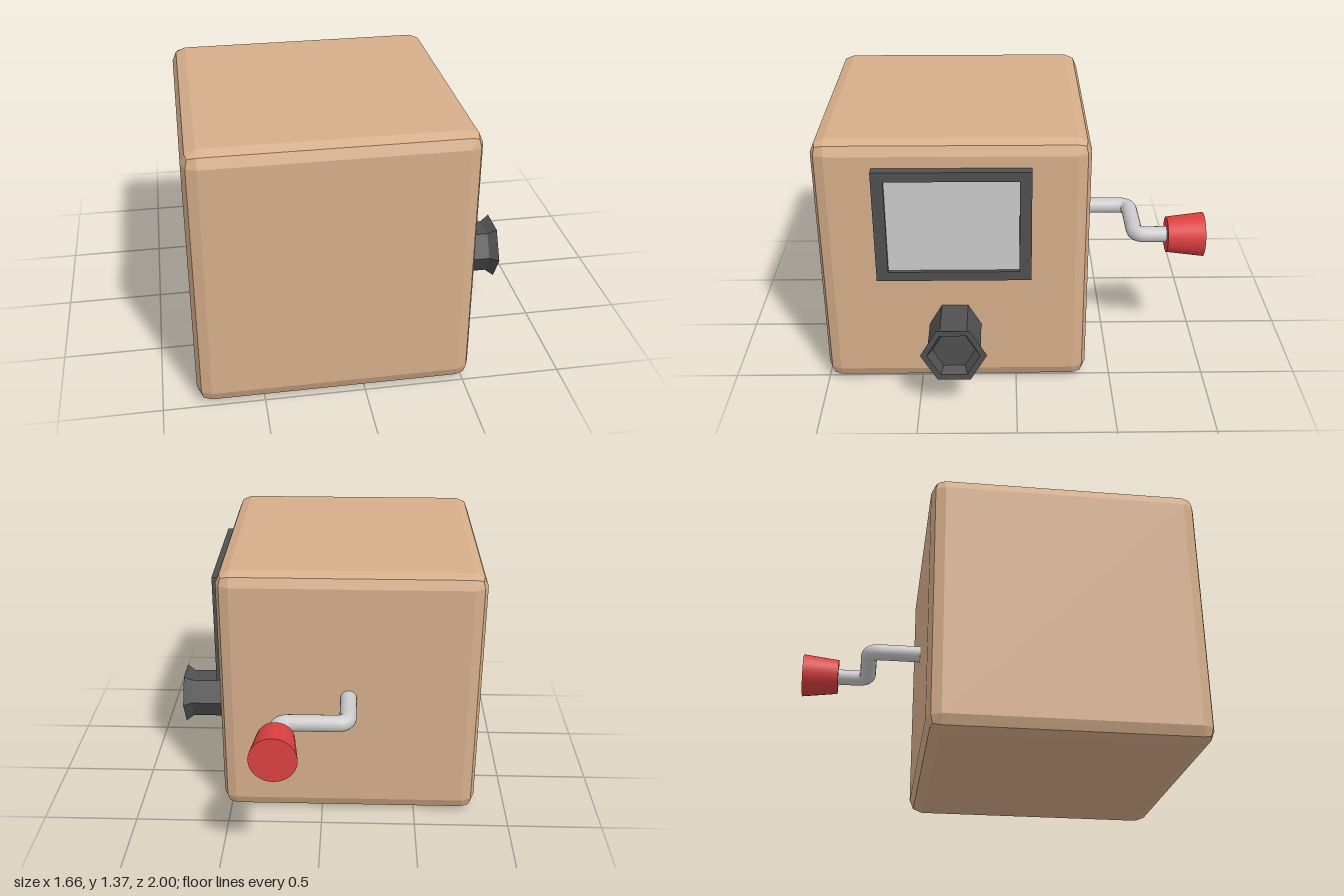
import * as THREE from 'three';
import { RoundedBoxGeometry } from 'three/addons/geometries/RoundedBoxGeometry.js';

const material = (color, flatShading = false) => new THREE.MeshStandardMaterial({ color, flatShading });

function addPart(group, name, geometry, mat, x = 0, y = 0, z = 0) {
  const mesh = new THREE.Mesh(geometry, mat);
  mesh.name = name;
  mesh.position.set(x, y, z);
  group.add(mesh);
  return mesh;
}

// Closed rectangle as a list of corners
function rectangle(w, h) {
  return [[-w, -h], [w, -h], [w, h], [-w, h]].map(([x, y]) => new THREE.Vector2(x / 2, y / 2));
}

// Path of straight runs with a rounded bend at every inner corner
function bentPath(points, bend) {
  const path = new THREE.CurvePath();
  let start = points[0];
  for (let i = 1; i < points.length - 1; i++) {
    const corner = points[i];
    const before = corner.clone().add(points[i - 1].clone().sub(corner).setLength(bend));
    const after = corner.clone().add(points[i + 1].clone().sub(corner).setLength(bend));
    path.add(new THREE.LineCurve3(start, before));
    path.add(new THREE.QuadraticBezierCurve3(before, corner, after));
    start = after;
  }
  path.add(new THREE.LineCurve3(start, points[points.length - 1]));
  return path;
}

export function createModel() {
  const model = new THREE.Group();
  model.name = 'crankBox';
  const wood = material(0xd6ae8a, true);
  const dark = material(0x505050, true);
  const grey = material(0xcccccc);
  const red = material(0xdd4040);

  // Cube body with bevelled edges
  addPart(model, 'body', new RoundedBoxGeometry(1.37, 1.37, 1.37, 1, 0.07), wood, -0.145, 0.685, 0.315);

  // Screen set into a frame on the +x side
  const frameShape = new THREE.Shape(rectangle(0.78, 0.6));
  frameShape.holes.push(new THREE.Path(rectangle(0.66, 0.5)));
  const frame = new THREE.ExtrudeGeometry(frameShape, { depth: 0.06, bevelEnabled: false });
  frame.rotateY(Math.PI / 2);
  addPart(model, 'screenFrame', frame, dark, 0.53, 0.94, 0.313);
  addPart(model, 'screen', new THREE.BoxGeometry(0.04, 0.5, 0.66), grey, 0.55, 0.94, 0.313);

  // Six-sided flared horn with a shallow hollow
  const hornProfile = [
    [0, 0], [0.134, 0], [0.134, 0.255], [0.167, 0.3], [0.133, 0.3], [0.108, 0.25], [0, 0.25],
  ].map(([r, h]) => new THREE.Vector2(r, h));
  const horn = new THREE.LatheGeometry(hornProfile, 6);
  horn.rotateZ(-Math.PI / 2);
  addPart(model, 'horn', horn, dark, 0.527, 0.348, 0.315);

  // Crank rod out of the back
  const crankY = 0.693;
  const rodPath = bentPath([
    new THREE.Vector3(-0.138, crankY, -0.33),
    new THREE.Vector3(-0.138, crankY, -0.64),
    new THREE.Vector3(0.21, crankY, -0.64),
    new THREE.Vector3(0.21, crankY, -0.85),
  ], 0.06);
  addPart(model, 'crankRod', new THREE.TubeGeometry(rodPath, 72, 0.043, 20), grey);

  // Tapered knob, wider at its outer end
  const knob = new THREE.CylinderGeometry(0.095, 0.118, 0.195, 32);
  knob.rotateX(Math.PI / 2);
  addPart(model, 'crankKnob', knob, red, 0.21, crankY, -0.9025);

  return model;
}
